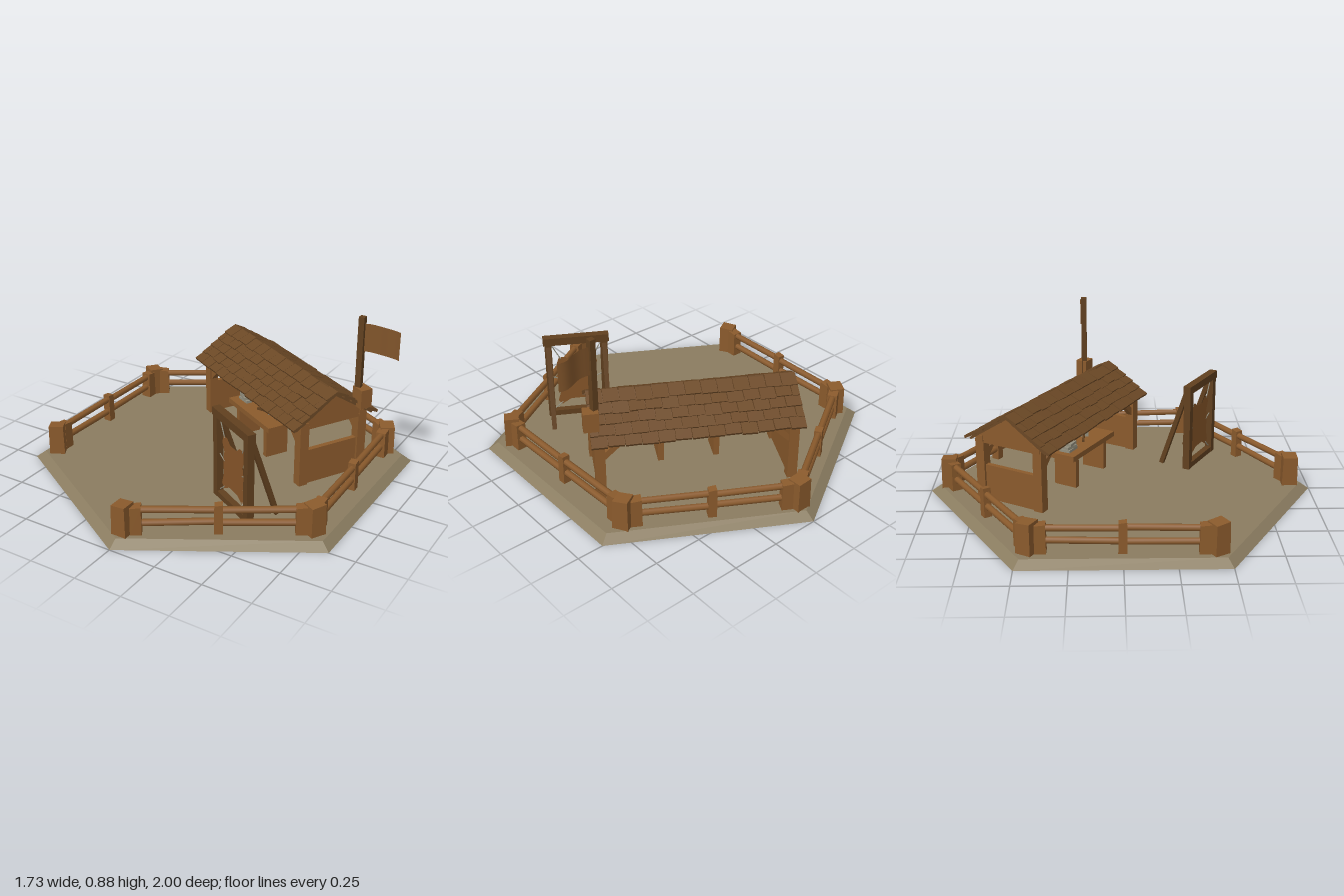
import * as THREE from 'three';

const mat = (name, color, side = THREE.FrontSide) => {
  const m = new THREE.MeshStandardMaterial({ color, side });
  m.name = name;
  return m;
};

export function createModel() {
  const wood = mat('warm wood', 0x8a5a2c);
  const darkWood = mat('dark wood', 0x61401f);
  const roofWood = mat('shingle brown', 0x6b4825);
  const sand = mat('sand', 0x8a7c60, THREE.DoubleSide);
  const hideMat = mat('hide', 0x865528, THREE.DoubleSide);
  const cloth = mat('flag cloth', 0x80542a, THREE.DoubleSide);
  const grey = mat('stone grey', 0x938f7e);

  let seed = 7;
  const rnd = (a) => {
    seed = (seed * 16807) % 2147483647;
    return (seed / 2147483647 - 0.5) * 2 * a;
  };
  const V = (x, y, z) => new THREE.Vector3(x, y, z);
  const root = new THREE.Group();
  root.name = 'fencedWorkshop';

  const group = (name, parent, x = 0, y = 0, z = 0, ry = 0) => {
    const g = new THREE.Group();
    g.name = name;
    g.position.set(x, y, z);
    g.rotation.y = ry;
    parent.add(g);
    return g;
  };
  const add = (parent, name, geo, m, x = 0, y = 0, z = 0) => {
    const o = new THREE.Mesh(geo, m);
    o.name = name;
    o.position.set(x, y, z);
    parent.add(o);
    return o;
  };
  const box = (parent, name, m, w, h, d, x, y, z) =>
    add(parent, name, new THREE.BoxGeometry(w, h, d), m, x, y, z);
  // Straight member between two points: square, or round when sides > 0
  const bar = (parent, name, m, a, b, t, sides = 0) => {
    const len = a.distanceTo(b);
    const geo = sides ? new THREE.CylinderGeometry(t / 2, t / 2, len, sides) : new THREE.BoxGeometry(t, len, t);
    const o = add(parent, name, geo, m);
    o.position.copy(a).add(b).multiplyScalar(0.5);
    o.quaternion.setFromUnitVectors(V(0, 1, 0), b.clone().sub(a).normalize());
    return o;
  };
  // Upright hewn post with a slightly uneven top
  const post = (parent, name, m, w, top, x, z, ry) => {
    const g = new THREE.BoxGeometry(w, top - 0.028, w);
    const p = g.attributes.position;
    for (let i = 0; i < p.count; i++) {
      if (p.getY(i) > 0) p.setXYZ(i, p.getX(i) * 0.94, p.getY(i) + Math.sign(p.getX(i)) * 0.003, p.getZ(i) * 0.94);
    }
    g.computeVertexNormals();
    add(parent, name, g, m, x, (top + 0.028) / 2, z).rotation.y = ry;
  };

  // Hexagonal ground, open underneath
  const ground = group('ground', root);
  add(ground, 'groundRim', new THREE.CylinderGeometry(0.95, 1, 0.035, 6, 1, true).toNonIndexed(), sand, 0, 0.0175, 0)
    .geometry.computeVertexNormals();
  const top = add(ground, 'groundTop', new THREE.CircleGeometry(0.95, 6, Math.PI / 2), sand, 0, 0.035, 0);
  top.rotation.x = -Math.PI / 2;

  // Fence: five sides, the front left one left open as the entrance
  const fence = group('fence', root);
  const corners = [[0, 0.89], [0.755, 0.43], [0.725, -0.475], [0, -0.895], [-0.75, -0.44], [-0.765, 0.435]];
  corners.forEach(([x, z], i) => {
    post(fence, 'cornerPost', wood, 0.08, 0.19, x, z, (i * Math.PI) / 3);
  });
  for (let i = 0; i < 5; i++) {
    const a = V(corners[i][0], 0, corners[i][1]);
    const b = V(corners[i + 1][0], 0, corners[i + 1][1]);
    const dir = b.clone().sub(a).normalize();
    const ry = Math.atan2(-dir.z, dir.x);
    const s = a.clone().addScaledVector(dir, 0.06);
    const e = b.clone().addScaledVector(dir, -0.06);
    const mid = s.clone().add(e).multiplyScalar(0.5);
    for (const p of [s, e]) post(fence, 'endPost', wood, 0.055, 0.178, p.x, p.z, ry);
    post(fence, 'middlePost', wood, 0.042, 0.188, mid.x, mid.z, ry);
    for (const y of [0.092, 0.157]) {
      for (const [p, q] of [[s, mid], [mid, e]]) {
        bar(fence, 'rail', wood, p.clone().setY(y + rnd(0.005)), q.clone().setY(y + rnd(0.005)), 0.034, 8);
      }
    }
  }

  // Open shed, turned on the ground
  const TURN = -Math.PI / 6;
  const shed = group('shed', root, 0.175, 0, -0.315, TURN);
  const A = 0.472, B = 0.172;
  for (const sx of [-1, 1]) {
    for (const sz of [-1, 1]) {
      box(shed, 'shedPost', wood, 0.05, 0.33, 0.05, sx * A, 0.195, sz * B);
      bar(shed, 'postBrace', wood, V(sx * 0.46, 0.255, sz * B), V(sx * 0.35, 0.36, sz * B), 0.03);
    }
    box(shed, 'endWall', wood, 0.026, 0.195, 2 * B - 0.04, sx * A, 0.125, 0);
    box(shed, 'tieBeam', wood, 0.045, 0.035, 2 * B + 0.05, sx * A, 0.362, 0);
    // Gable triangle
    const tri = new THREE.Shape([new THREE.Vector2(-0.205, 0.365), new THREE.Vector2(0.205, 0.365), new THREE.Vector2(0, 0.497)]);
    const gable = add(shed, 'gable', new THREE.ExtrudeGeometry(tri, { depth: 0.02, bevelEnabled: false }), wood, sx * 0.485 - 0.01, 0, 0);
    gable.rotation.y = Math.PI / 2;
  }
  for (const sz of [-1, 1]) box(shed, 'eaveBeam', wood, 1.0, 0.032, 0.04, 0, 0.367, sz * B);
  box(shed, 'ridgeBeam', wood, 0.98, 0.03, 0.03, 0, 0.48, 0);

  // Roof: two slopes of overlapping shingles over a board
  const pitch = Math.atan2(0.155, 0.24);
  const rows = 5, step = 0.056, cols = 13;
  for (const side of [0, Math.PI]) {
    const turn = group('roofSlope', shed, 0, 0.516, 0, side);
    const slope = group('slopeBoards', turn);
    slope.rotation.x = pitch;
    box(slope, 'roofBoard', roofWood, 1.0, 0.012, 0.275, 0, -0.012, 0.14);
    for (let r = 0; r < rows; r++) {
      let x = -0.515;
      const w0 = 1.03 / cols;
      for (let c = 0; c <= cols; c++) {
        const half = r % 2 && (c === 0 || c === cols);
        if (!(r % 2) && c === cols) break;
        const w = half ? w0 / 2 : w0;
        const t = box(slope, 'shingle', roofWood, w - 0.004, 0.014, 0.072,
          x + w / 2, 0.002 + rnd(0.002), r * step + 0.034 + rnd(0.004));
        t.rotation.set(-0.12 + rnd(0.03), rnd(0.03), 0);
        x += w;
      }
    }
  }

  // Work table at the open front, with goods on it
  const table = group('workTable', shed, 0, 0, 0.12);
  box(table, 'tableTop', wood, 0.42, 0.028, 0.17, 0, 0.218, 0);
  for (const sx of [-1, 1]) box(table, 'tableLeg', wood, 0.03, 0.18, 0.13, sx * 0.143, 0.119, 0);
  for (let i = 0; i < 3; i++) {
    box(table, 'stoneSlab', grey, 0.08 - i * 0.008, 0.014, 0.06, -0.14 + rnd(0.006), 0.24 + i * 0.0155, 0.01).rotation.y = rnd(0.2);
  }
  const tool = group('handTool', table, 0.03, 0.24, 0, 0.5);
  box(tool, 'toolHandle', darkWood, 0.09, 0.012, 0.012, 0, 0, 0);
  box(tool, 'toolHead', grey, 0.025, 0.028, 0.05, 0.045, 0.007, 0);

  // Flag on a socket block above the back right post
  const flag = group('flag', root);
  box(flag, 'flagSocket', wood, 0.075, 0.1, 0.065, 0.69, 0.46, -0.197).rotation.y = TURN;
  box(flag, 'flagPole', darkWood, 0.03, 0.45, 0.03, 0.667, 0.655, -0.197);
  const sheet = new THREE.PlaneGeometry(0.18, 0.145, 12, 4);
  const sp = sheet.attributes.position;
  for (let i = 0; i < sp.count; i++) {
    const u = sp.getX(i) / 0.18 + 0.5;
    sp.setY(i, sp.getY(i) - 0.014 * u * u + 0.004 * Math.sin(u * 6));
    sp.setZ(i, 0.012 * Math.sin(u * 6.5) * u - 0.015 * u);
  }
  sheet.computeVertexNormals();
  add(flag, 'flagCloth', sheet, cloth, 0.77, 0.772, -0.2);

  // Stretching rack with a laced hide
  const rack = group('hideRack', root, 0.325, 0, 0.442, TURN);
  box(rack, 'rackTop', darkWood, 0.345, 0.042, 0.042, 0, 0.49, 0);
  box(rack, 'rackBottom', darkWood, 0.32, 0.035, 0.034, 0, 0.048, 0);
  for (const sx of [-1, 1]) {
    box(rack, 'rackPost', darkWood, 0.036, 0.45, 0.038, sx * 0.147, 0.255, 0);
    bar(rack, 'rackStay', darkWood, V(sx * 0.147, 0.46, -0.015), V(sx * 0.147, 0.04, -0.155), 0.024);
    for (const [hy, fy] of [[0.375, 0.465], [0.25, 0.27], [0.11, 0.07]]) {
      bar(rack, 'lacing', grey, V(sx * 0.085, hy, 0), V(sx * 0.132, fy, 0), 0.006, 5);
    }
  }
  const half = [[0.03, 0.36], [0.06, 0.385], [0.095, 0.385], [0.108, 0.345], [0.088, 0.3], [0.098, 0.25], [0.092, 0.18], [0.11, 0.12], [0.09, 0.095], [0.04, 0.125]];
  const outline = [...half, ...half.map(([x, y]) => [-x, y]).reverse()].map(([x, y]) => new THREE.Vector2(x, y));
  add(rack, 'hide', new THREE.ShapeGeometry(new THREE.Shape(outline)), hideMat);

  return root;
}
